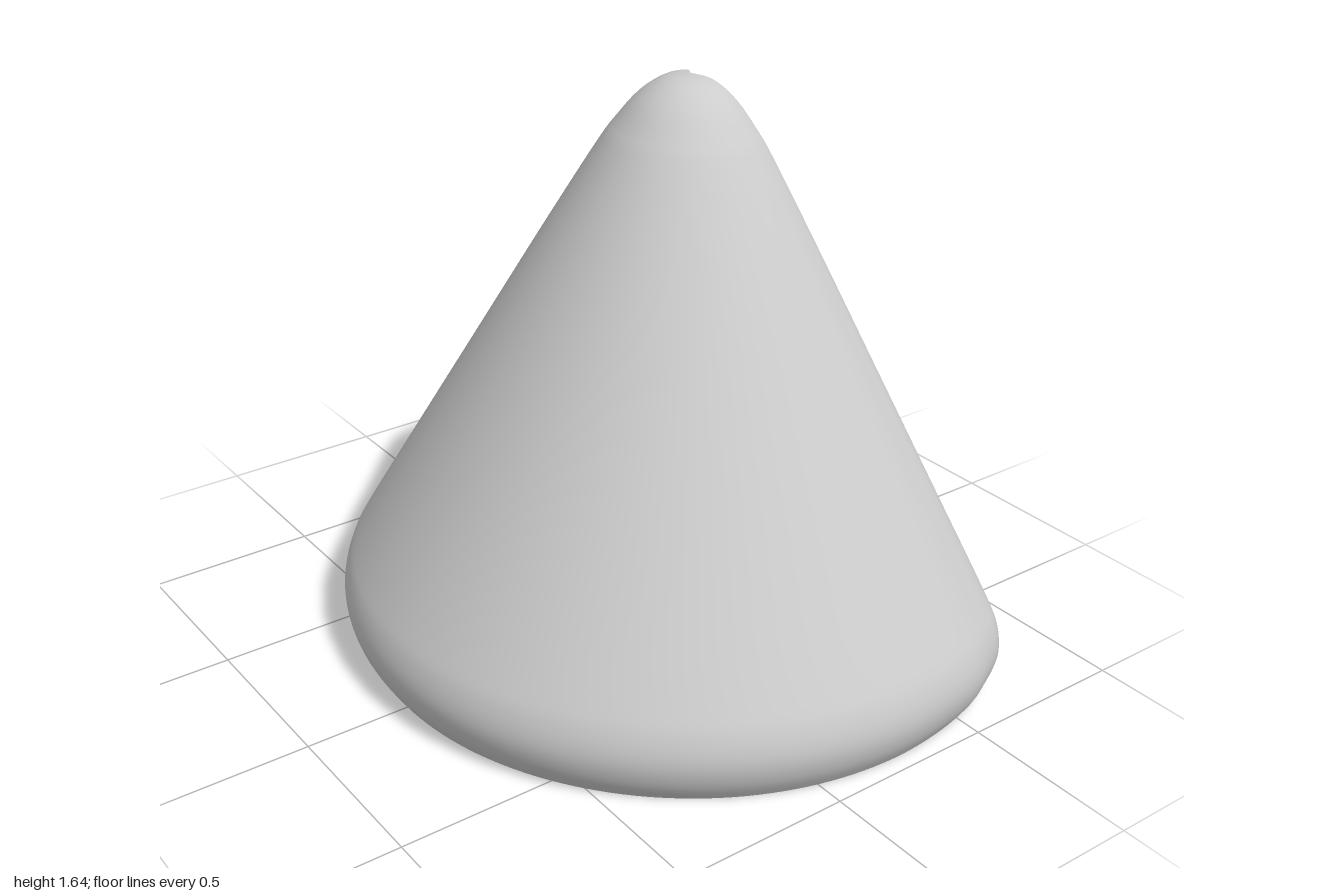
import * as THREE from 'three';

const AXIS_Z = -0.255; // apex position in z

// Full-size plan outline around the apex axis: round front, two rear lobes, a notch between
function planOutline() {
  const half = [];
  for (let a = 15; a <= 105; a += 15) {
    const t = THREE.MathUtils.degToRad(a);
    half.push([Math.sin(t), Math.cos(t)]);
  }
  half.push([0.925, -0.355], [0.87, -0.445], [0.78, -0.49], [0.7, -0.478], [0.62, -0.425],
    [0.45, -0.27], [0.28, -0.13], [0.13, -0.045]);
  const mirrored = half.map(([x, z]) => [-x, z]).reverse();
  const points = [[0, 1], ...half, [0, -0.015], ...mirrored]
    .map(([x, z]) => new THREE.Vector3(x, 0, z));
  return new THREE.CatmullRomCurve3(points, true).getSpacedPoints(180).slice(0, -1);
}

// Scale of the outline (x) against height (y): tucked foot, straight slope, rounded tip
function heightProfile() {
  const points = [[0.95, 0], [0.985, 0.06], [1, 0.13], [0.985, 0.205], [0.94, 0.29], [0.8, 0.525],
    [0.6, 0.86], [0.4, 1.195], [0.25, 1.44], [0.2, 1.51], [0.14, 1.58], [0.07, 1.627], [0, 1.638]];
  return new THREE.SplineCurve(points.map(([s, y]) => new THREE.Vector2(s, y))).getPoints(48);
}

export function createModel() {
  const group = new THREE.Group();
  const material = new THREE.MeshStandardMaterial({ color: 0xcccccc });
  const outline = planOutline();
  const profile = heightProfile();
  const n = outline.length;

  // Notched cone: the outline shrinks towards the apex ring by ring
  const positions = [];
  const index = [];
  profile.forEach((ring, j) => {
    outline.forEach((p, i) => {
      positions.push(p.x * ring.x, ring.y, p.z * ring.x);
      if (j === profile.length - 1) return;
      const a = j * n + i;
      const b = j * n + (i + 1) % n;
      index.push(a, b, b + n, a, b + n, a + n);
    });
  });
  const sides = new THREE.BufferGeometry();
  sides.setAttribute('position', new THREE.Float32BufferAttribute(positions, 3));
  sides.setIndex(index);
  sides.computeVertexNormals();
  const cone = new THREE.Mesh(sides, material);
  cone.name = 'notchedCone';

  // Flat underside, with a sharp edge against the cone
  const foot = profile[0].x;
  const shape = new THREE.Shape(outline.map((p) => new THREE.Vector2(p.x * foot, p.z * foot)));
  const base = new THREE.Mesh(new THREE.ShapeGeometry(shape).rotateX(Math.PI / 2), material);
  base.name = 'base';

  for (const mesh of [cone, base]) {
    mesh.position.z = AXIS_Z;
    group.add(mesh);
  }
  return group;
}
